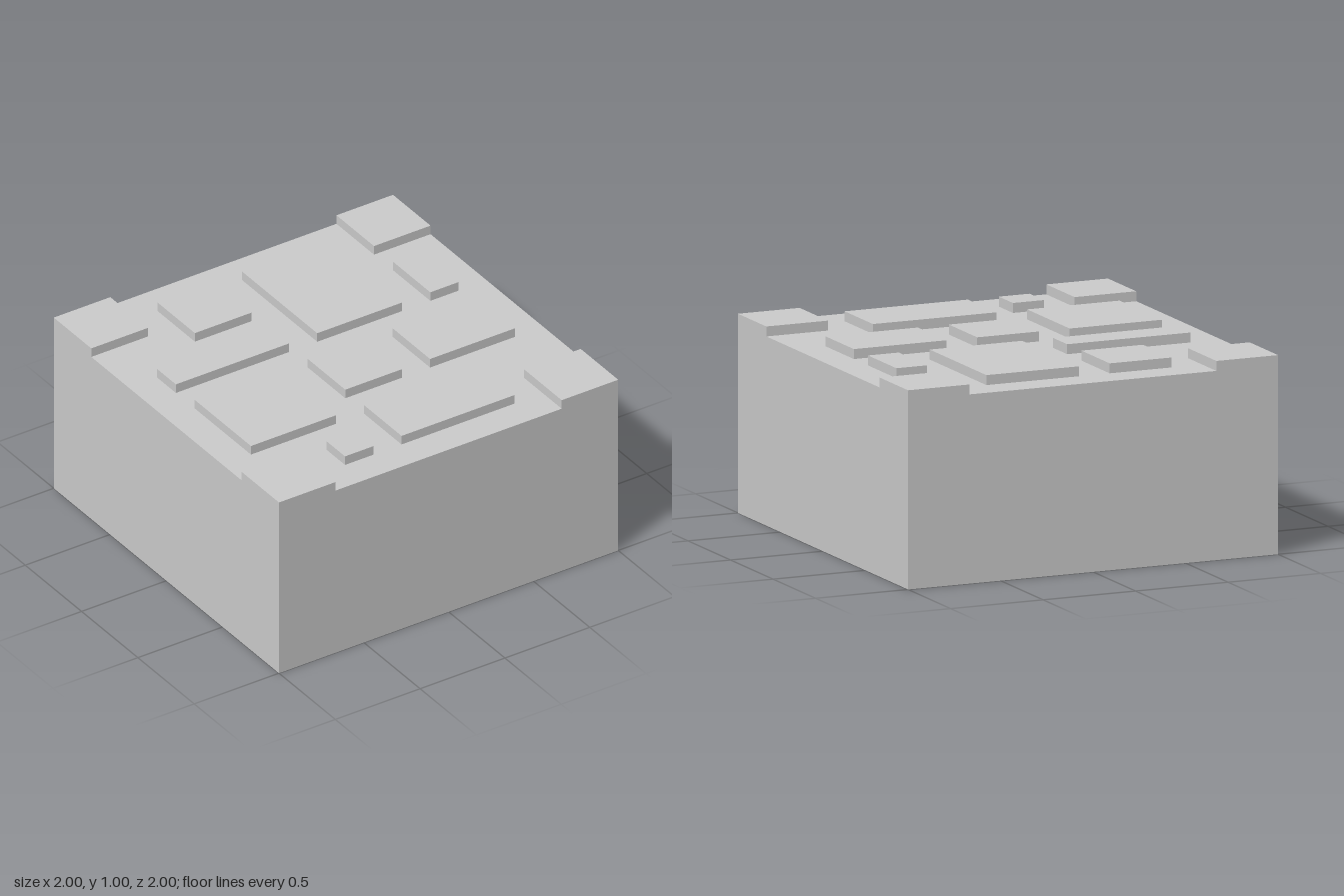
import * as THREE from 'three';

const U = 1 / 6;          // layout grid step
const BASE = 0.95;        // height of the main block
const TOP = 1;            // height of the raised plates

export function createModel() {
  const group = new THREE.Group();
  const material = new THREE.MeshStandardMaterial({ color: 0xcccccc, flatShading: true });

  // Box spanning x0..x1 and z0..z1 (grid steps) and y0..y1 (units)
  function block(name, x0, x1, z0, z1, y0, y1) {
    const geometry = new THREE.BoxGeometry((x1 - x0) * U, y1 - y0, (z1 - z0) * U);
    const mesh = new THREE.Mesh(geometry, material);
    mesh.position.set((x0 + x1) * U / 2, (y0 + y1) / 2, (z0 + z1) * U / 2);
    mesh.name = name;
    group.add(mesh);
  }

  // Main block
  block('base', -6, 6, -6, 6, 0, BASE);

  // Square plates flush with the four corners
  for (const x of [-6, 4]) {
    for (const z of [-6, 4]) block('cornerPlate', x, x + 2, z, z + 2, BASE, TOP);
  }

  // Raised rectangular plates: x0, x1, z0, z1
  const plates = [
    [-3, -1, -5, -3],
    [0, 3, -5, -1],
    [4, 5, -3, -1],
    [-5, -1, -2, -1],
    [-5, -2, 0, 3],
    [-1, 1, 0, 2],
    [2, 5, 0, 2],
    [-1, 3, 3, 5],
    [-3, -2, 4, 5],
  ];
  for (const p of plates) block('raisedPlate', ...p, BASE, TOP);

  return group;
}
